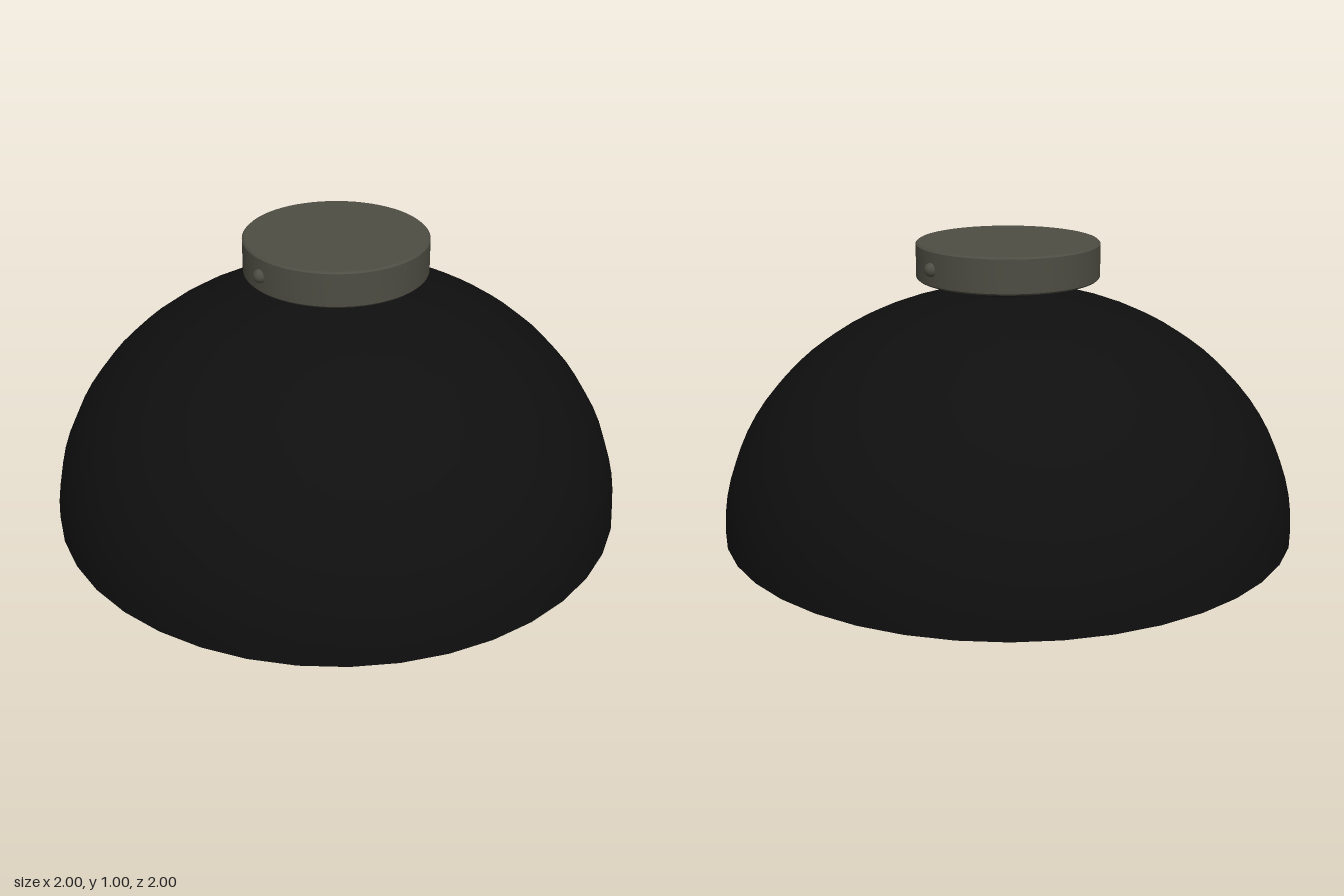
import * as THREE from 'three';
import { toCreasedNormals } from 'three/addons/utils/BufferGeometryUtils.js';

export function createModel() {
  const group = new THREE.Group();
  const mat = (name, color) => {
    const m = new THREE.MeshStandardMaterial({ color });
    m.name = name;
    return m;
  };
  const black = mat('black enamel', 0x0f0f0f);
  const bronze = mat('dark bronze', 0x4e4d43);
  const white = mat('white lining', 0xe0e0e0);
  const glass = mat('bulb glass', 0xe8e8e8);

  const add = (name, geometry, material) => {
    const mesh = new THREE.Mesh(geometry, material);
    mesh.name = name;
    group.add(mesh);
    return mesh;
  };
  const lathe = (pts, sides) =>
    toCreasedNormals(new THREE.LatheGeometry(pts.map(([x, y]) => new THREE.Vector2(x, y)), sides), 0.6);

  // quarter ellipse from rim to crown
  const arc = (r, h, n = 20) => Array.from({ length: n + 1 }, (_, i) => {
    const a = (i / n) * Math.PI / 2;
    return [i === n ? 0 : r * Math.cos(a), h * Math.sin(a)];
  });

  // shade: outer shell with its thin rim, and the inward-facing lining
  add('shadeShell', lathe([[0.988, 0], ...arc(1, 0.83)], 40), black);
  add('shadeLining', lathe(arc(0.988, 0.818).reverse(), 40), white);

  // neck between shade and ceiling plate
  const neck = add('neck', new THREE.CylinderGeometry(0.11, 0.11, 0.09, 40), black);
  neck.position.y = 0.845;

  // ceiling plate with softened edges
  add('ceilingPlate', lathe([
    [0, 0.875], [0.309, 0.875], [0.315, 0.881], [0.315, 0.994], [0.309, 1], [0, 1],
  ], 64), bronze);

  // round-headed screws on both sides of the plate
  for (const side of [-1, 1]) {
    const screw = add(side > 0 ? 'leftScrew' : 'rightScrew', new THREE.SphereGeometry(0.024, 20, 14), bronze);
    screw.position.set(side * 0.313, 0.935, 0);
  }

  // socket inside the shade
  const socket = add('socket', new THREE.CylinderGeometry(0.11, 0.11, 0.14, 40), black);
  socket.position.y = 0.755;

  // tapered bulb with a small nib at the bottom
  const curve = new THREE.SplineCurve([
    [0.02, 0.042], [0.07, 0.043], [0.13, 0.058], [0.185, 0.097], [0.211, 0.15],
    [0.21, 0.2], [0.182, 0.36], [0.147, 0.56], [0.115, 0.66], [0.1, 0.72],
  ].map(([x, y]) => new THREE.Vector2(x, y)));
  add('bulb', new THREE.LatheGeometry([new THREE.Vector2(0, 0.042), ...curve.getPoints(40)], 40), glass);
  const nib = add('bulbNib', new THREE.SphereGeometry(0.026, 20, 14), glass);
  nib.scale.y = 0.6;
  nib.position.y = 0.042;

  return group;
}
